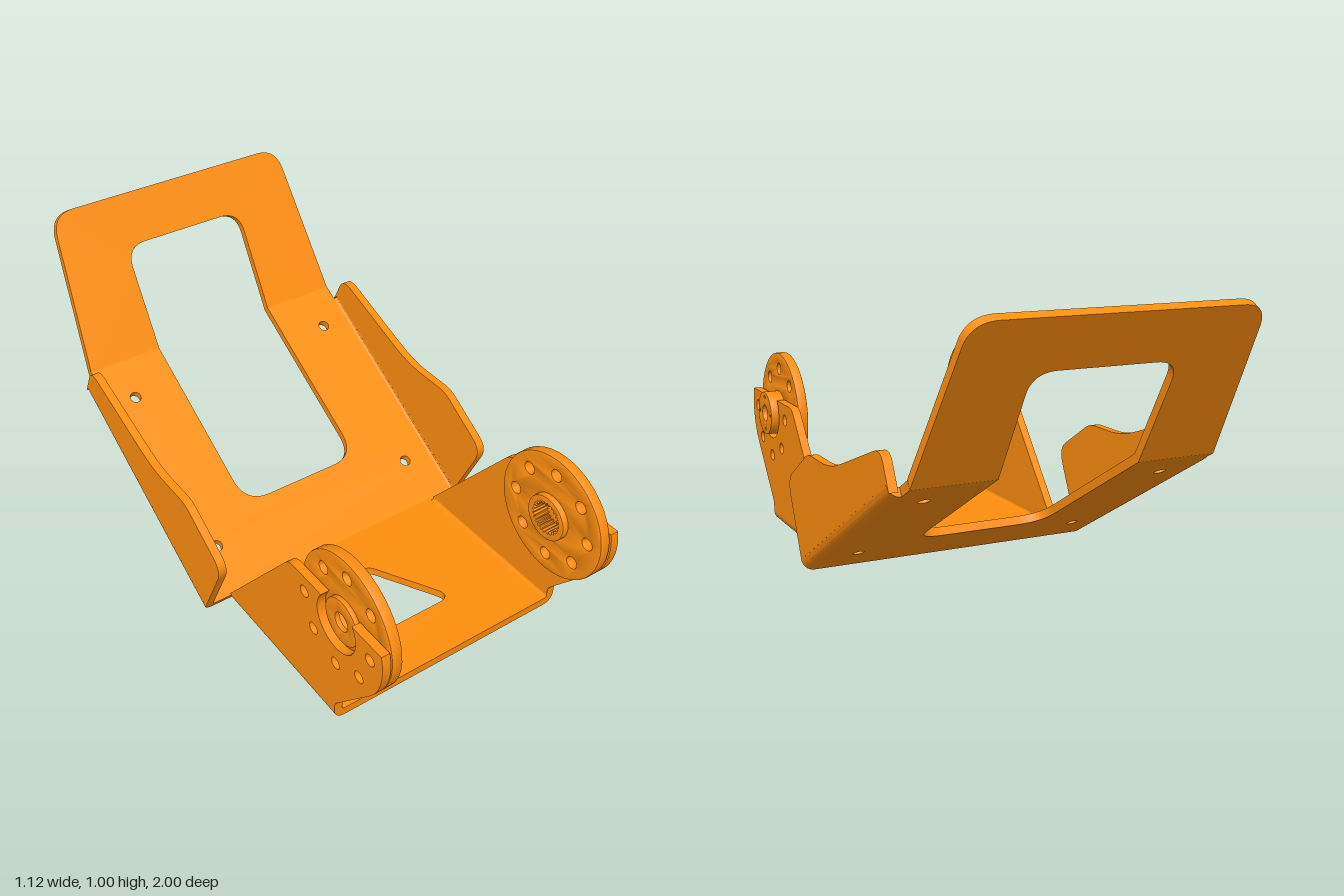
import * as THREE from 'three';
import { toCreasedNormals } from 'three/addons/utils/BufferGeometryUtils.js';

const T = 0.03;                       // sheet thickness
const AXIS = [0.772, 0.43];           // pivot centre as (z, y)
const C30 = Math.cos(Math.PI / 6), S30 = 0.5;
const X = [1, 0, 0], Y = [0, 1, 0], Z = [0, 0, 1];

export function createModel() {
  const model = new THREE.Group();
  const material = new THREE.MeshStandardMaterial({ color: 0xff8f0f });

  // Extrude a shape drawn in the plane (u, v) through origin, along u x v
  function sheet(name, shape, depth, origin, u, v, bevel = 0) {
    let geo = new THREE.ExtrudeGeometry(shape, {
      depth: depth - 2 * bevel, curveSegments: 20,
      bevelEnabled: bevel > 0, bevelSize: bevel, bevelThickness: bevel,
      bevelOffset: -bevel, bevelSegments: 2,
    });
    geo.translate(0, 0, bevel);
    const U = new THREE.Vector3(...u), V = new THREE.Vector3(...v);
    const W = new THREE.Vector3().crossVectors(U, V);
    geo.applyMatrix4(new THREE.Matrix4().makeBasis(U, V, W).setPosition(...origin));
    geo = toCreasedNormals(geo, 0.6);
    const mesh = new THREE.Mesh(geo, material);
    mesh.name = name;
    model.add(mesh);
  }

  // Polygon with rounded corners; each point is [x, y, trim]
  function roundPoly(pts, Type = THREE.Shape) {
    const path = new Type();
    pts.forEach(([x, y, r = 0], i) => {
      const p = new THREE.Vector2(x, y);
      const toward = (q) => new THREE.Vector2(q[0], q[1]).sub(p).setLength(r).add(p);
      const a = toward(pts[(i + pts.length - 1) % pts.length]);
      const b = toward(pts[(i + 1) % pts.length]);
      if (i === 0) path.moveTo(a.x, a.y); else path.lineTo(a.x, a.y);
      if (r > 0) path.quadraticCurveTo(x, y, b.x, b.y);
    });
    path.closePath();
    return path;
  }

  const circle = (x, y, r, Type = THREE.Path) => new Type().absarc(x, y, r, 0, Math.PI * 2, false);

  // Quarter-round bend section joining a floor to a wall
  function bend(side, cx) {
    const s = new THREE.Shape();
    const end = side > 0 ? 0 : -Math.PI;
    s.absarc(side * cx, 0.04, 0.04, -Math.PI / 2, end, side < 0);
    s.absarc(side * cx, 0.04, 0.01, end, -Math.PI / 2, side > 0);
    s.closePath();
    return s;
  }

  // Base plate with a rounded triangular opening
  const base = roundPoly([[-0.42, 0], [0.42, 0], [0.42, 0.64], [-0.42, 0.64]]);
  base.holes.push(roundPoly([[-0.17, 0.19, 0.06], [0.17, 0.19, 0.06], [0, 0.49, 0.06]], THREE.Path));
  sheet('basePlate', base, T, [0, 0, 0.77], X, [0, 0, -1]);

  // Pivot ear: outline follows the disc and has an open notch for the hub
  const [cz, cy] = AXIS;
  const ear = new THREE.Shape();
  ear.moveTo(0.77, 0.04);
  ear.lineTo(0.77, 0.06);
  ear.quadraticCurveTo(0.77, 0.077, 0.785, 0.093);
  ear.absarc(cz, cy, 0.228, -0.695, 0.267, false);
  ear.absarc(cz, cy, 0.098, 0.66, Math.PI - 0.66, true);
  ear.lineTo(0.545, 0.49);
  ear.quadraticCurveTo(0.52, 0.49, 0.5, 0.467);
  ear.lineTo(0.148, 0.04);
  ear.closePath();
  const ring = (n, radius, r, count = n) => Array.from({ length: count }, (_, i) => {
    const a = -i * Math.PI * 2 / n;
    return circle(cz + radius * Math.cos(a), cy + radius * Math.sin(a), r);
  });
  ear.holes.push(...ring(8, 0.167, 0.021, 5));

  // Inclined seat plate and upper flange share one window across their bend
  const L = 0.9665, L2 = 0.584;
  const incline = [0, S30, -C30], inclineUp = [0, C30, S30];
  const at = (s) => [0, s * S30, 0.13 - s * C30];
  const seat = roundPoly([
    [-0.52, 0], [0.52, 0], [0.52, L], [0.24, L],
    [0.24, 0.277, 0.1], [-0.24, 0.277, 0.1], [-0.24, L], [-0.52, L],
  ]);
  for (const x of [-0.415, 0.415]) for (const s of [0.179, 0.808]) seat.holes.push(circle(x, s, 0.02));
  sheet('inclinedPlate', seat, T, at(0), X, incline);

  const flange = roundPoly([
    [-0.52, 0], [-0.24, 0], [-0.24, 0.397, 0.08], [0.24, 0.397, 0.08], [0.24, 0],
    [0.52, 0], [0.472, L2, 0.085], [-0.472, L2, 0.085],
  ]);
  sheet('upperFlange', flange, T, at(L), X, [0, C30, -S30]);

  // Side wall of the inclined plate, with a dipped upper edge
  const wall = new THREE.Shape();
  wall.moveTo(0.15, 0.035);
  wall.lineTo(0.245, 0.235);
  wall.quadraticCurveTo(0.275, 0.295, 0.225, 0.325);
  wall.lineTo(0.095, 0.405);
  wall.quadraticCurveTo(0.06, 0.43, 0.02, 0.43);
  wall.lineTo(-0.08, 0.43);
  wall.bezierCurveTo(-0.16, 0.43, -0.22, 0.45, -0.28, 0.472);
  wall.lineTo(-0.54, 0.566);
  wall.quadraticCurveTo(-0.59, 0.582, -0.61, 0.545);
  wall.lineTo(-0.65, 0.465);
  wall.lineTo(-0.63, 0.485);
  wall.closePath();

  // Walls, ears and their bends on both sides
  for (const side of [1, -1]) {
    const outer = (x) => (side > 0 ? x : T - x);
    sheet('pivotEar', ear, T, [outer(0.46), 0, 0], Z, Y);
    sheet('baseBend', bend(side, 0.42), 0.62, [0, 0, 0.15], X, Y);
    sheet('sideWall', wall, T, [outer(0.56), 0, 0], Z, Y);
    sheet('wallBend', bend(side, 0.52), 0.9, at(0.9), X, inclineUp);
  }

  // Round plate about the pivot axis between x0 and x1
  function round(name, r, x0, x1, holes, bevel = 0) {
    const s = circle(cz, cy, r, THREE.Shape);
    s.holes.push(...holes);
    sheet(name, s, x1 - x0, [x1, 0, 0], Z, Y, bevel);
  }
  const bore = (r) => circle(cz, cy, r);

  // Toothed bore for the driven side
  const spline = new THREE.Path();
  const teeth = 24;
  for (let i = 0; i < teeth * 4; i++) {
    const a = i * Math.PI * 2 / (teeth * 4), r = i % 4 < 2 ? 0.06 : 0.051;
    const p = [cz + r * Math.cos(a), cy + r * Math.sin(a)];
    if (i === 0) spline.moveTo(...p); else spline.lineTo(...p);
  }
  spline.closePath();

  // Driven disc on the left: splined inner hub and outer boss
  round('drivenDisc', 0.228, 0.387, 0.425, [bore(0.07), ...ring(8, 0.167, 0.021)], 0.005);
  round('splinedHub', 0.082, 0.365, 0.426, [spline], 0.003);
  round('outerBoss', 0.082, 0.425, 0.485, [bore(0.03), ...ring(4, 0.062, 0.005)], 0.003);

  // Idler disc on the right: stepped bearing ring and shallow outer boss
  round('idlerDisc', 0.228, -0.425, -0.387, [bore(0.05), ...ring(8, 0.167, 0.021)], 0.005);
  round('bearingRing', 0.13, -0.388, -0.37, [bore(0.078)], 0.003);
  round('bearingLip', 0.115, -0.371, -0.365, [bore(0.085)]);
  round('idlerBoss', 0.082, -0.442, -0.424, [bore(0.032)], 0.003);

  return model;
}
